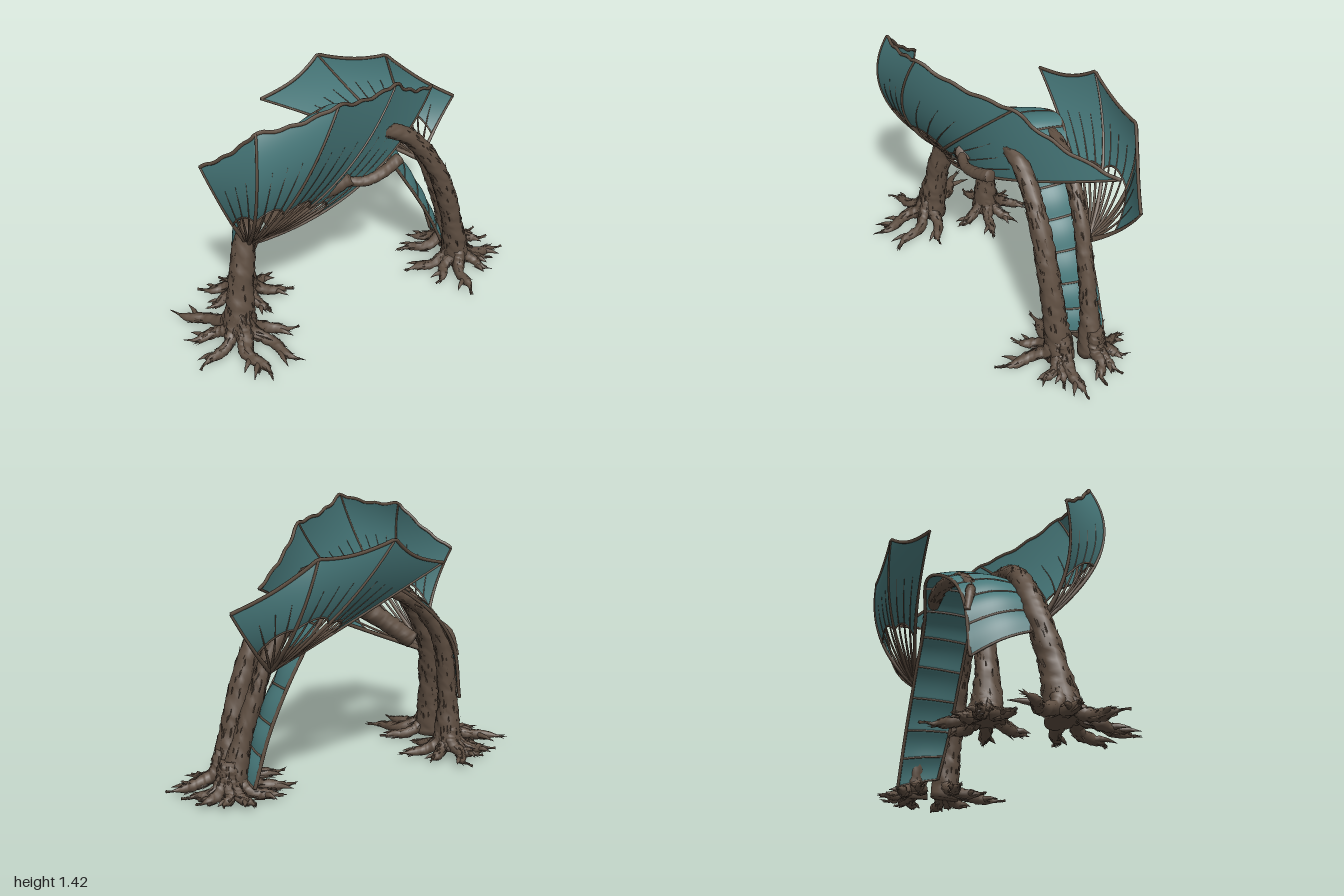
import * as THREE from 'three';
import { mergeGeometries } from 'three/addons/utils/BufferGeometryUtils.js';

const V = (p) => new THREE.Vector3(...p);

// Small seeded generator for bark roughness
let seed = 7;
const rnd = () => {
  seed = (seed * 16807) % 2147483647;
  return seed / 2147483647;
};

// Evaluate a list of numbers as a smooth piecewise ramp
function ramp(list, t) {
  const f = Math.min(t, 0.9999) * (list.length - 1), i = Math.floor(f);
  return THREE.MathUtils.lerp(list[i], list[i + 1], f - i);
}

// Closed tube with changing radius and optional rough bark
function limb(path, radii, rows = 40, sides = 12, rough = 0) {
  const curve = path instanceof THREE.Curve ? path : new THREE.CatmullRomCurve3(path.map(V));
  const fr = curve.computeFrenetFrames(rows, false);
  const pos = [], idx = [];
  for (let i = -1; i <= rows + 1; i++) {
    const k = THREE.MathUtils.clamp(i, 0, rows), c = curve.getPointAt(k / rows);
    const r = i === k ? ramp(radii, k / rows) : 0.0005;
    for (let j = 0; j < sides; j++) {
      const a = (j / sides) * Math.PI * 2, q = r * (1 + rough * (rnd() - 0.5));
      const p = c.clone().addScaledVector(fr.normals[k], Math.cos(a) * q).addScaledVector(fr.binormals[k], Math.sin(a) * q);
      pos.push(p.x, p.y, p.z);
    }
  }
  for (let i = 0; i < rows + 2; i++) for (let j = 0; j < sides; j++) {
    const a = i * sides + j, b = i * sides + (j + 1) % sides;
    idx.push(a, b, a + sides, b, b + sides, a + sides);
  }
  return surface(pos, idx);
}

function surface(pos, idx) {
  const g = new THREE.BufferGeometry();
  g.setAttribute('position', new THREE.Float32BufferAttribute(pos, 3));
  g.setIndex(idx);
  g.computeVertexNormals();
  return g;
}

// Sheet from a rule f(u, v) -> Vector3
function sheet(f, nu, nv) {
  const pos = [], idx = [];
  for (let i = 0; i <= nu; i++) for (let j = 0; j <= nv; j++) {
    pos.push(...f(i / nu, j / nv).toArray());
    if (i < nu && j < nv) {
      const a = i * (nv + 1) + j, b = a + nv + 1;
      idx.push(a, b, a + 1, b, b + 1, a + 1);
    }
  }
  return surface(pos, idx);
}

// Pointed bark flakes lying along a limb
function flakes(points, radii, count) {
  const curve = new THREE.CatmullRomCurve3(points.map(V)), out = [];
  for (let i = 0; i < count; i++) {
    const t = 0.04 + 0.92 * rnd(), c = curve.getPointAt(t), tan = curve.getTangentAt(t);
    const side = new THREE.Vector3(rnd() - 0.5, rnd() - 0.5, rnd() - 0.5).cross(tan).normalize();
    const g = new THREE.ConeGeometry(0.009, 0.04 + 0.03 * rnd(), 3);
    const dir = tan.clone().multiplyScalar(rnd() < 0.5 ? 1 : -1).addScaledVector(side, 0.25).normalize();
    g.applyQuaternion(new THREE.Quaternion().setFromUnitVectors(new THREE.Vector3(0, 1, 0), dir));
    const p = c.addScaledVector(side, ramp(radii, t) * 0.98);
    out.push(g.translate(p.x, Math.max(p.y, 0.03), p.z));
  }
  return mergeGeometries(out);
}

export function createModel() {
  seed = 7;
  const group = new THREE.Group();
  const bark = new THREE.MeshStandardMaterial({ color: 0x5e4e41 });
  bark.name = 'bark brown';
  const cloth = new THREE.MeshStandardMaterial({ color: 0x47787a, side: THREE.DoubleSide });
  cloth.name = 'teal membrane';
  const add = (name, geo, mat) => {
    const m = new THREE.Mesh(geo, mat);
    m.name = name;
    group.add(m);
  };

  // Two trunks bent into arches: path, radii
  const arches = {
    frontArch: [[[-0.65, 0.06, 0.19], [-0.62, 0.35, 0.15], [-0.55, 0.65, 0.09], [-0.4, 0.89, 0.055], [-0.15, 1.03, 0.03],
      [0.15, 1.06, -0.015], [0.33, 0.98, -0.045], [0.49, 0.78, -0.065], [0.6, 0.5, -0.085], [0.66, 0.25, -0.105], [0.69, 0.05, -0.125]],
    [0.09, 0.066, 0.06, 0.052, 0.045, 0.042, 0.042, 0.048, 0.055, 0.058, 0.08]],
    backArch: [[[-0.57, 0.06, -0.14], [-0.56, 0.35, -0.14], [-0.51, 0.64, -0.16], [-0.37, 0.85, -0.2], [-0.16, 0.97, -0.24],
      [0.08, 1.01, -0.28], [0.3, 0.96, -0.285], [0.47, 0.78, -0.285], [0.59, 0.5, -0.285], [0.67, 0.25, -0.285], [0.72, 0.05, -0.29]],
    [0.08, 0.053, 0.046, 0.04, 0.034, 0.034, 0.038, 0.04, 0.042, 0.045, 0.075]],
  };
  for (const [name, [pts, radii]] of Object.entries(arches)) {
    add(name, limb(pts, radii, 110, 16, 0.2), bark);
    add(name + 'Bark', flakes(pts, radii, 300), bark);
  }

  // Broken branches
  const branches = {
    frontBranch: [[[-0.09, 0.9, 0.15], [0.04, 0.885, 0.17], [0.15, 0.91, 0.145], [0.24, 0.945, 0.1]], [0.02, 0.026, 0.03, 0.032]],
    brokenLog: [[[-0.44, 0.64, 0.05], [-0.25, 0.78, 0.105], [-0.03, 0.91, 0.15]], [0.048, 0.053, 0.043]],
    backStub: [[[-0.43, 0.8, -0.19], [-0.52, 0.72, -0.21], [-0.56, 0.6, -0.23]], [0.02, 0.024, 0.014]],
  };
  for (const [name, [pts, radii]] of Object.entries(branches)) add(name, limb(pts, radii, 36, 12, 0.15), bark);

  // Spreading roots: foot centre, then tip positions in x and z
  const feet = [
    [[-0.65, 0.19], [[-0.99, -0.1], [-0.95, 0.16], [-0.89, 0.4], [-0.61, 0.52], [-0.55, 0.58], [-0.36, 0.48], [-0.33, 0.22]]],
    [[-0.57, -0.14], [[-0.82, -0.24], [-0.69, -0.32], [-0.54, -0.42], [-0.38, -0.28], [-0.29, -0.1], [-0.8, -0.06], [-0.45, 0.08]]],
    [[0.69, -0.125], [[0.66, 0.22], [0.86, 0.04], [1.0, -0.15], [0.5, 0.08], [0.36, -0.08], [0.9, -0.06]]],
    [[0.72, -0.29], [[0.8, -0.46], [0.9, -0.37], [0.94, -0.27], [0.66, -0.5], [0.48, -0.42], [0.37, -0.28]]],
  ];
  for (const [[cx, cz], tips] of feet) {
    const parts = [];
    for (const [x, z] of tips) {
      const at = (t, y, w = 0) => [cx + (x - cx) * t - (z - cz) * w, y, cz + (z - cz) * t + (x - cx) * w];
      const bend = 0.16 * (rnd() - 0.5);
      const pts = [at(0.06, 0.21), at(0.2, 0.1), at(0.45, 0.06, bend), at(0.75, 0.05, -bend / 2), at(1, 0.05)];
      const radii = [0.03, 0.04, 0.036, 0.033, 0.03, 0.028, 0.024, 0.007, 0.001];
      parts.push(limb(pts, radii, 28, 9, 0.35), flakes(pts, radii, 26));
      // Thin side spike
      parts.push(limb([at(0.6, 0.05), at(0.72, 0.055, 0.1), at(0.86, 0.045, 0.19)], [0.018, 0.012, 0.001], 10, 7, 0.3));
    }
    add('roots', mergeGeometries(parts.map((g) => g.deleteAttribute('uv'))), bark);
  }

  // Ribbed canopy slung along the arches
  const inner = new THREE.CatmullRomCurve3([[-0.61, 0.5, 0.06], [-0.5, 0.74, 0.045], [-0.3, 0.92, 0.02], [0, 1.02, -0.02],
    [0.2, 0.88, -0.07], [0.37, 0.63, -0.1], [0.52, 0.36, -0.13], [0.62, 0.14, -0.17]].map(V));
  const outer = new THREE.CatmullRomCurve3([[-0.59, 0.36, -0.22], [-0.53, 0.66, -0.24], [-0.34, 0.88, -0.28], [0.03, 1.05, -0.35],
    [0.22, 0.91, -0.325], [0.39, 0.66, -0.345], [0.54, 0.36, -0.37], [0.63, 0.09, -0.39]].map(V));
  const bays = 13;
  const canopy = (u, v) => {
    const p = inner.getPoint(u).lerp(outer.getPoint(u), v);
    const n = inner.getTangent(u).cross(new THREE.Vector3(0, 0, -1)).normalize();
    const puff = 0.01 * Math.abs(Math.sin(u * bays * Math.PI)) + 0.025 * Math.sin(v * Math.PI);
    return p.addScaledVector(n, puff);
  };
  add('canopy', sheet(canopy, 130, 12), cloth);
  for (let i = 0; i <= bays; i++) {
    const pts = [0, 0.25, 0.5, 0.75, 1].map((v) => canopy(i / bays, v).toArray());
    add('canopyRib', limb(pts, [0.006, 0.006], 12, 6), bark);
  }
  for (const c of [inner, outer]) add('canopyEdge', limb(c, [0.009, 0.009], 70, 6), bark);

  // Fan sails: ribs bend from one base out to tips, cloth starts part way up
  function fan(name, base, ribs, starts, sag, wave) {
    const n = ribs.length - 1;
    const curves = ribs.map(([ctrl, tip]) => new THREE.QuadraticBezierCurve3(V(base), V(ctrl), V(tip)));
    const point = (u, t) => {
      const f = Math.min(u * n, n - 1e-6), i = Math.floor(f), k = f - i;
      return curves[i].getPoint(t).lerp(curves[i + 1].getPoint(t), k);
    };
    const sail = (u, v) => {
      const k = u * n - Math.floor(u * n + 1e-9), arc = Math.sin(Math.PI * Math.max(k, 0));
      const low = ramp(starts, u) + 0.07 * arc;
      const high = 1 - sag * arc + wave * Math.sin(k * Math.PI * 6);
      return point(u, low + (high - low) * v);
    };
    add(name, sheet(sail, n * 20, 22), cloth);
    // Rims along the top and the lower opening
    for (const [v, r] of [[1, 0.009], [0, 0.005]]) {
      const rim = [];
      for (let i = 0; i <= n * 10; i++) rim.push(sail(i / (n * 10), v).toArray());
      add(name + 'Rim', limb(rim, [r, r], n * 20, 6), bark);
    }
    curves.forEach((c) => add(name + 'Rib', limb(c, [0.014, 0.01, 0.007, 0.006], 36, 7), bark));
    // Thin battens between the main ribs
    for (let i = 0; i < n * 4; i++) if (i % 4) {
      const pts = [0, 0.2, 0.4, 0.6, 0.75].map((t) => point(i / (n * 4), t).toArray());
      add(name + 'Batten', limb(pts, [0.009, 0.007, 0.004, 0.0015], 24, 6), bark);
    }
  }
  fan('frontSail', [-0.56, 0.56, 0.1], [
    [[-0.66, 0.82, 0.3], [-0.77, 1.12, 0.2]],
    [[-0.57, 1.0, 0.61], [-0.53, 1.37, 0.4]],
    [[-0.37, 0.97, 0.52], [-0.14, 1.43, 0.35]],
    [[-0.08, 0.9, 0.34], [0.25, 1.31, -0.01]],
    [[0.1, 0.8, 0.28], [0.6, 1.05, -0.42]],
  ], [0.4, 0.4, 0.38, 0.33, 0.27], 0.025, 0.006);
  fan('backSail', [0.52, 0.64, -0.32], [
    [[0.63, 0.74, -0.45], [0.75, 0.95, -0.46]],
    [[0.48, 0.86, -0.62], [0.38, 1.19, -0.59]],
    [[0.24, 0.9, -0.57], [-0.02, 1.26, -0.55]],
    [[0.12, 0.87, -0.42], [-0.37, 1.12, -0.39]],
  ], [0.42, 0.47, 0.42, 0.35], 0.035, 0);

  return group;
}
